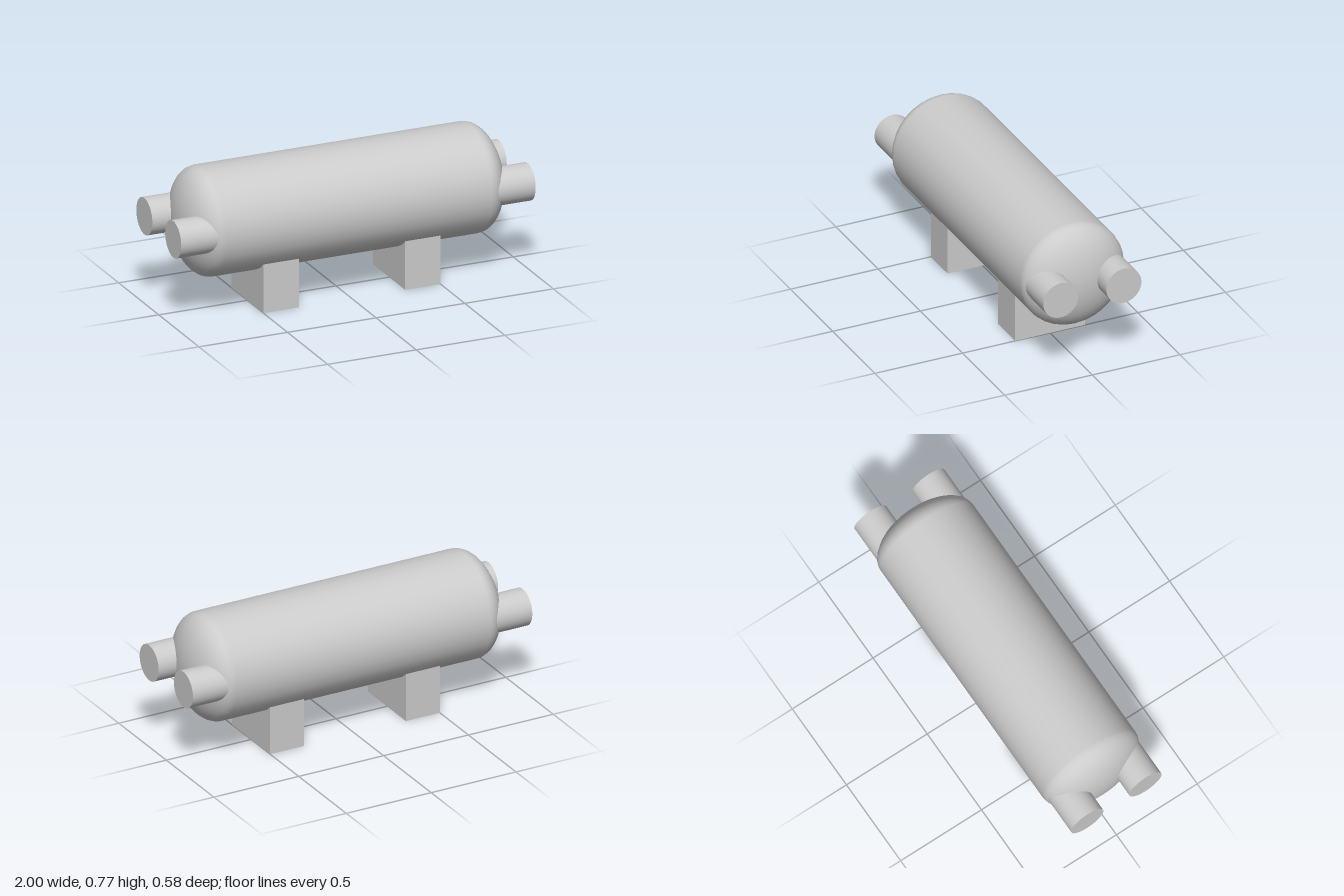
import * as THREE from 'three';

const AXIS_Y = 0.48;

export function createModel() {
  const model = new THREE.Group();
  model.name = 'horizontalTank';
  const material = new THREE.MeshStandardMaterial({ color: 0xcccccc });

  const add = (name, geometry, x, y, z) => {
    const mesh = new THREE.Mesh(geometry, material);
    mesh.name = name;
    mesh.position.set(x, y, z);
    model.add(mesh);
    return mesh;
  };

  // Tank shell: straight barrel with shallow elliptical domes at both ends
  const radius = 0.292, barrelHalf = 0.75, domeDepth = 0.15, steps = 12;
  const profile = [];
  for (const end of [-1, 1]) {
    for (let i = 0; i <= steps; i++) {
      const t = (end < 0 ? i : steps - i) / steps * Math.PI / 2;
      const r = i === (end < 0 ? 0 : steps) ? 0 : radius * Math.sin(t);
      profile.push(new THREE.Vector2(r, end * (barrelHalf + domeDepth * Math.cos(t))));
    }
  }
  const shell = new THREE.LatheGeometry(profile, 32).rotateZ(-Math.PI / 2);
  add('tankShell', shell, 0, AXIS_Y, 0);

  // Two pipe stubs on each end, running into the domes
  const pipeInner = 0.7, pipeOuter = 1;
  const pipe = new THREE.CylinderGeometry(0.1, 0.1, pipeOuter - pipeInner, 48).rotateZ(Math.PI / 2);
  for (const [side, sx] of [['left', 1], ['right', -1]]) {
    for (const [face, sz] of [['Front', 1], ['Back', -1]]) {
      add(`${side}${face}Pipe`, pipe, sx * (pipeInner + pipeOuter) / 2, AXIS_Y, sz * 0.18);
    }
  }

  // Block supports under the barrel
  const footHeight = 0.28;
  const foot = new THREE.BoxGeometry(0.2, footHeight, 0.4);
  add('leftSupport', foot, 0.4, footHeight / 2, 0);
  add('rightSupport', foot, -0.4, footHeight / 2, 0);

  return model;
}
